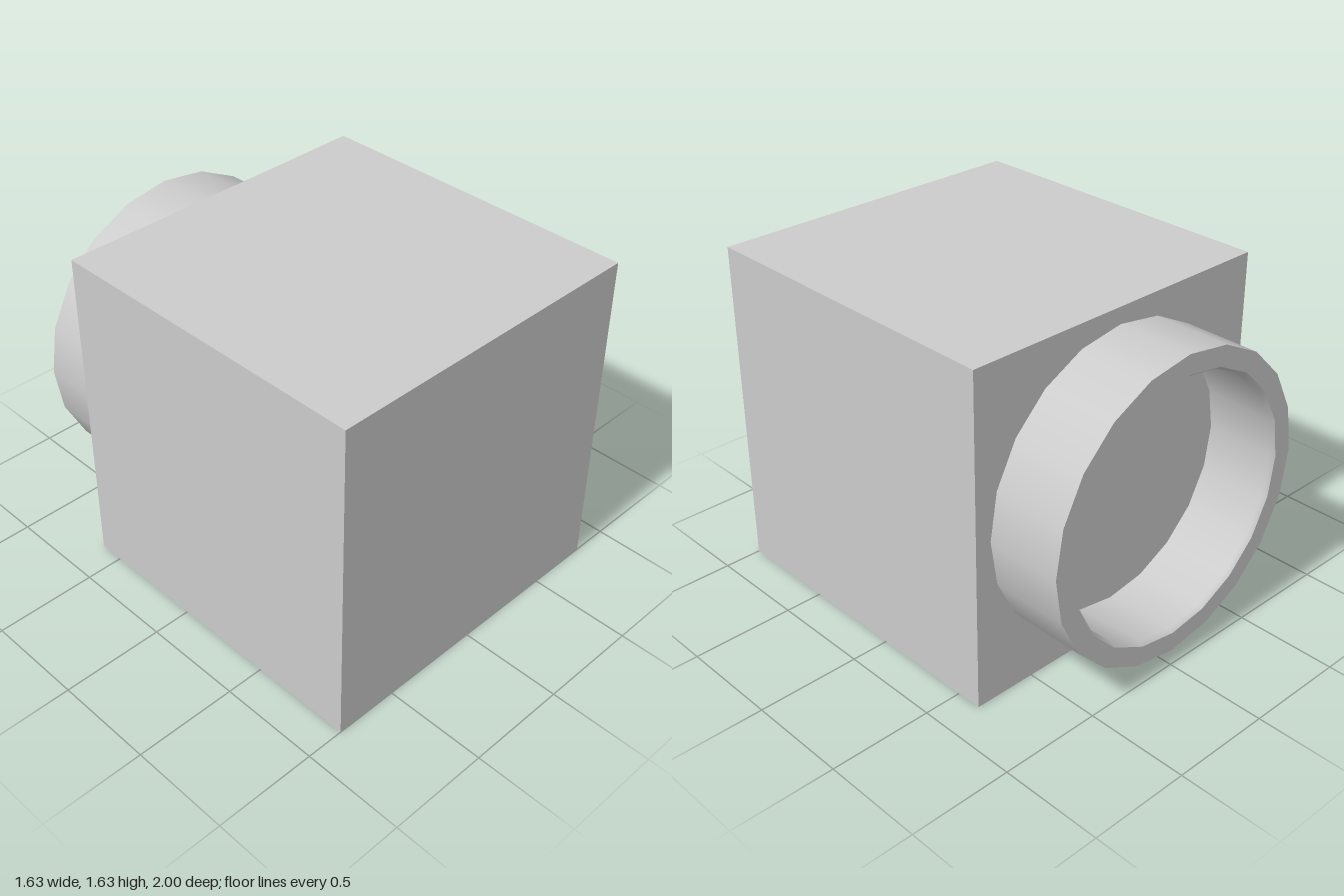
import * as THREE from 'three';

const SIDES = 20;
const BACK = -0.625; // plane of the box's back face
const CENTRE_Y = 0.815;

export function createModel() {
  const model = new THREE.Group();
  const material = new THREE.MeshStandardMaterial({ color: 0xcccccc });

  // Closed cube body
  const body = new THREE.Mesh(new THREE.BoxGeometry(1.63, 1.63, 1.625), material);
  body.name = 'body';
  body.position.set(0, CENTRE_Y, 1 - 1.625 / 2);
  model.add(body);

  // Round collar on the back: each surface is its own lathe, so the edges between them stay sharp
  const collar = new THREE.Group();
  collar.name = 'collar';
  collar.position.set(0, CENTRE_Y, BACK);
  collar.rotation.x = -Math.PI / 2; // lathe axis points backward
  const profiles = {
    collarOuterWall: [[0.735, 0], [0.735, 0.375]],
    collarRim: [[0.735, 0.375], [0.64, 0.375]],
    collarInnerWall: [[0.64, 0.375], [0.625, 0.355], [0.645, 0]],
  };
  for (const [name, points] of Object.entries(profiles)) {
    const profile = points.map(([r, h]) => new THREE.Vector2(r, h));
    const mesh = new THREE.Mesh(new THREE.LatheGeometry(profile, SIDES), material);
    mesh.name = name;
    collar.add(mesh);
  }
  model.add(collar);

  return model;
}
